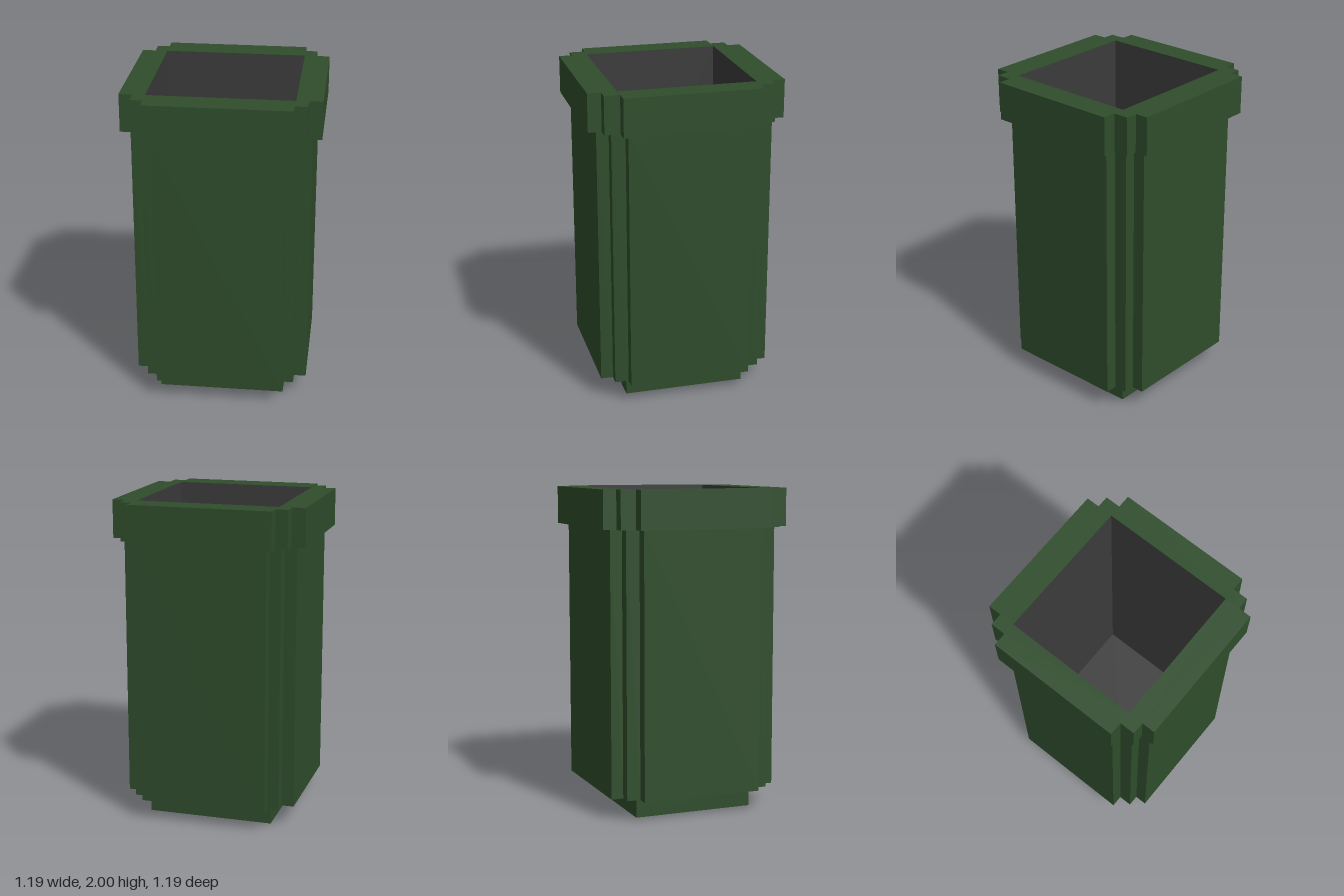
import * as THREE from 'three';

const green = new THREE.MeshStandardMaterial({ color: 0x2f4d2c });
const dark = new THREE.MeshStandardMaterial({ color: 0x3c3c3c });

const HOLE_X = 0.44, HOLE_Z = 0.42, FLOOR = 0.13, TOP = 2;

// Square outline with two notched steps at every corner, listed for one
// quadrant and mirrored round, with a rectangular opening in the middle.
function steppedTube(name, corner, y0, y1) {
  const points = [];
  for (const [sx, sz] of [[1, 1], [-1, 1], [-1, -1], [1, -1]]) {
    const quarter = corner.map(([x, z]) => new THREE.Vector2(x * sx, z * sz));
    if (sx * sz < 0) quarter.reverse();
    points.push(...quarter);
  }
  const shape = new THREE.Shape(points);
  shape.holes.push(new THREE.Path([
    new THREE.Vector2(-HOLE_X, -HOLE_Z), new THREE.Vector2(-HOLE_X, HOLE_Z),
    new THREE.Vector2(HOLE_X, HOLE_Z), new THREE.Vector2(HOLE_X, -HOLE_Z),
  ]));
  const geometry = new THREE.ExtrudeGeometry(shape, { depth: y1 - y0, bevelEnabled: false });
  geometry.rotateX(-Math.PI / 2).translate(0, y0, 0);
  const mesh = new THREE.Mesh(geometry, green);
  mesh.name = name;
  return mesh;
}

// Dark inward-facing walls and floor of the opening
function createLining() {
  const lining = new THREE.Group();
  lining.name = 'lining';
  const x = HOLE_X - 0.002, z = HOLE_Z - 0.002, h = TOP - FLOOR;
  for (let i = 0; i < 4; i++) {
    const alongX = i % 2 === 0;
    const geometry = new THREE.PlaneGeometry(2 * (alongX ? x : z), h);
    geometry.translate(0, 0, -(alongX ? z : x)).rotateY(i * Math.PI / 2);
    const wall = new THREE.Mesh(geometry, dark);
    wall.name = 'liningWall';
    wall.position.y = FLOOR + h / 2;
    lining.add(wall);
  }
  const floor = new THREE.Mesh(new THREE.PlaneGeometry(2 * x, 2 * z).rotateX(-Math.PI / 2), dark);
  floor.name = 'liningFloor';
  floor.position.y = FLOOR + 0.002;
  lining.add(floor);
  return lining;
}

export function createModel() {
  const model = new THREE.Group();
  model.name = 'steppedPipe';

  // Foot
  const base = new THREE.Mesh(new THREE.BoxGeometry(0.79, FLOOR, 0.76), green);
  base.name = 'base';
  base.position.y = FLOOR / 2;

  // Underside plate closing the bottom of the body
  const plate = new THREE.Mesh(
    new THREE.PlaneGeometry(2 * HOLE_X, 2 * HOLE_Z).rotateX(Math.PI / 2), green);
  plate.name = 'underside';
  plate.position.y = FLOOR;

  // Tall body and wider rim
  const body = steppedTube('body', [
    [0.54, 0.38], [0.465, 0.38], [0.465, 0.465], [0.395, 0.465], [0.395, 0.54],
  ], FLOOR, 1.765);
  const rim = steppedTube('rim', [
    [0.597, 0.42], [0.515, 0.42], [0.515, 0.515], [0.44, 0.515], [0.44, 0.597],
  ], 1.765, TOP);

  model.add(base, plate, body, rim, createLining());
  return model;
}
